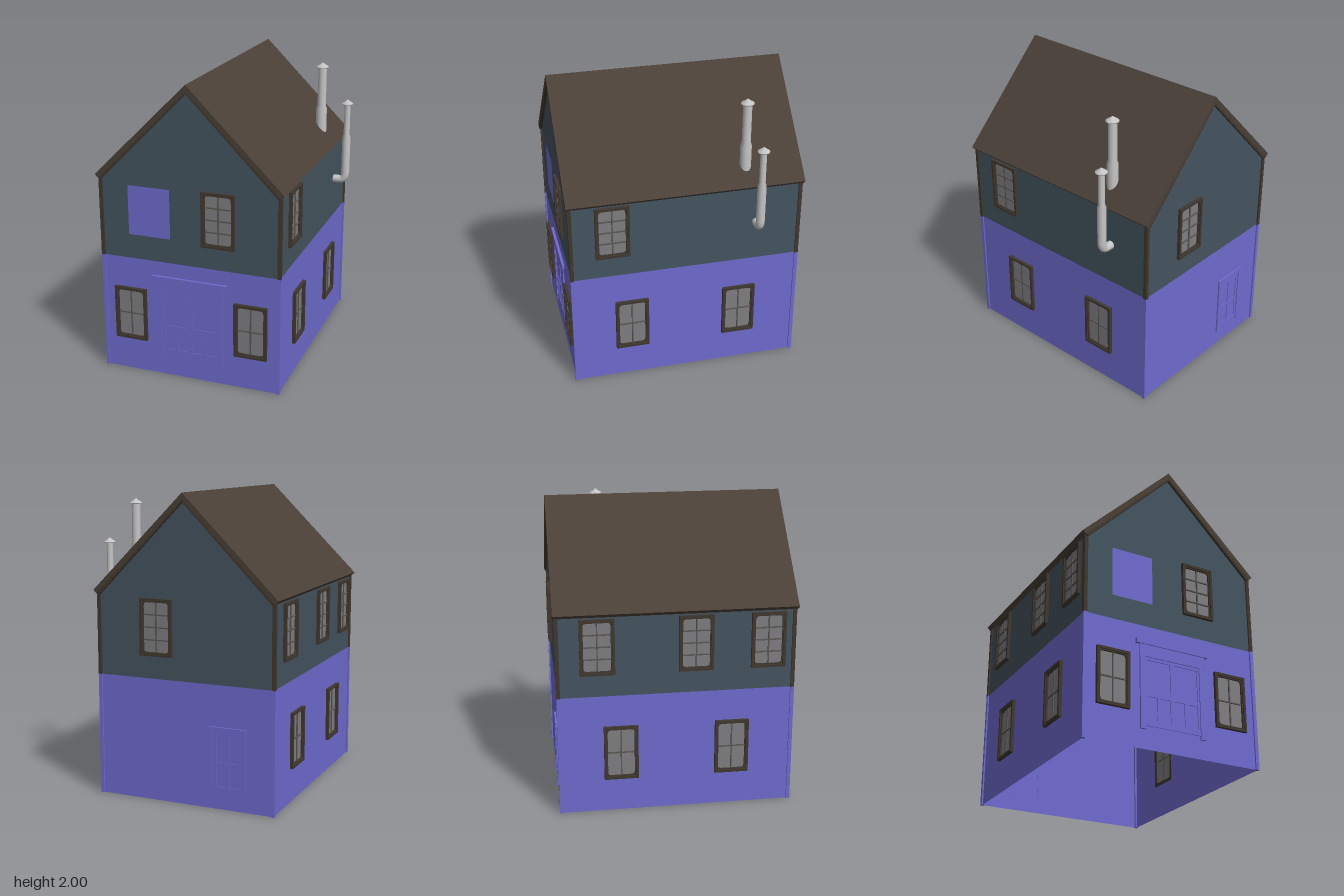
import * as THREE from 'three';

const CX = -0.05, HW = 0.61, HZ = 0.765, SPLIT = 0.81, EAVE = 1.345, PEAK = 1.95;

function mat(name, color) {
  const m = new THREE.MeshStandardMaterial({ color });
  m.name = name;
  m.side = THREE.DoubleSide;
  return m;
}

export function createModel() {
  const house = new THREE.Group();
  house.name = 'house';
  const M = {
    lower: mat('violet lower wall', 0x6f6bcf),
    upper: mat('slate blue siding', 0x44545f),
    roof: mat('brown roof', 0x4a4037),
    trim: mat('dark brown trim', 0x40382f),
    glass: mat('grey glass', 0x7f7f82),
    bar: mat('window bar grey', 0x5a5753),
    metal: mat('light grey metal', 0xc4c4c4),
  };

  function add(parent, geo, material, name, x = 0, y = 0, z = 0) {
    const mesh = new THREE.Mesh(geo, material);
    mesh.name = name;
    mesh.position.set(x, y, z);
    parent.add(mesh);
    return mesh;
  }
  // Box given by its x and y limits and its z limits
  function slab(parent, material, name, x0, x1, y0, y1, z0, z1) {
    return add(parent, new THREE.BoxGeometry(x1 - x0, y1 - y0, z1 - z0), material, name,
      (x0 + x1) / 2, (y0 + y1) / 2, (z0 + z1) / 2);
  }
  const rect = (P, x0, x1, y0, y1) => new P([[x0, y0], [x1, y0], [x1, y1], [x0, y1]]
    .map(([x, y]) => new THREE.Vector2(x, y)));
  const roundRect = (P, w, h, r) => {
    const p = new P();
    p.moveTo(-w + r, -h).lineTo(w - r, -h).quadraticCurveTo(w, -h, w, -h + r);
    p.lineTo(w, h - r).quadraticCurveTo(w, h, w - r, h).lineTo(-w + r, h);
    p.quadraticCurveTo(-w, h, -w, h - r).lineTo(-w, -h + r).quadraticCurveTo(-w, -h, -w + r, -h);
    return p;
  };

  // Window: frame with rounded opening, glass and glazing bars
  const frameShape = rect(THREE.Shape, -0.112, 0.112, -0.185, 0.185);
  frameShape.holes.push(rect(THREE.Path, -0.095, 0.095, -0.168, 0.168));
  const frameGeo = new THREE.ExtrudeGeometry(frameShape, { depth: 0.025, bevelEnabled: false });
  const sashShape = rect(THREE.Shape, -0.096, 0.096, -0.169, 0.169);
  sashShape.holes.push(roundRect(THREE.Path, 0.088, 0.161, 0.022));
  const sashGeo = new THREE.ExtrudeGeometry(sashShape, { depth: 0.014, bevelEnabled: false, curveSegments: 3 });
  const glassGeo = new THREE.PlaneGeometry(0.2, 0.345);
  function addWindow(wall, x, y, rows) {
    const g = new THREE.Group();
    g.name = 'window';
    g.position.set(x, y, 0);
    wall.add(g);
    add(g, frameGeo, M.trim, 'windowFrame', 0, 0, -0.003);
    add(g, sashGeo, M.trim, 'windowSash');
    add(g, glassGeo, M.glass, 'windowGlass', 0, 0, 0.002);
    slab(g, M.bar, 'verticalBar', -0.004, 0.004, -0.162, 0.162, 0.001, 0.01);
    for (let i = 1; i < rows; i++) {
      const by = -0.162 + 0.324 * i / rows;
      slab(g, M.bar, 'horizontalBar', -0.089, 0.089, by - 0.004, by + 0.004, 0.001, 0.01);
    }
  }

  // Wall: lower and upper sheet with window openings, in local x, y, outward z
  function addWall(name, half, gable, lowXs, highXs, patchX) {
    const g = new THREE.Group();
    g.name = name;
    house.add(g);
    const low = rect(THREE.Shape, -half, half, 0, SPLIT);
    const pts = [[-half, SPLIT], [half, SPLIT], [half, EAVE]];
    if (gable) pts.push([0, PEAK]);
    pts.push([-half, EAVE]);
    const high = new THREE.Shape(pts.map(([x, y]) => new THREE.Vector2(x, y)));
    for (const x of lowXs) {
      low.holes.push(rect(THREE.Path, x - 0.097, x + 0.097, 0.245, 0.585));
      addWindow(g, x, 0.415, 2);
    }
    for (const x of highXs) {
      high.holes.push(rect(THREE.Path, x - 0.097, x + 0.097, 0.975, 1.315));
      addWindow(g, x, 1.145, 4);
    }
    if (patchX !== undefined) {
      high.holes.push(rect(THREE.Path, patchX - 0.145, patchX + 0.145, 0.975, 1.31));
      add(g, new THREE.PlaneGeometry(0.29, 0.335), M.lower, 'wallPatch', patchX, 1.1425, 0);
    }
    add(g, new THREE.ShapeGeometry(low), M.lower, 'lowerWall');
    add(g, new THREE.ShapeGeometry(high), M.upper, 'upperWall');
    return g;
  }
  const front = addWall('frontWall', HW, true, [-0.418, 0.42], [0.202], -0.275);
  front.position.set(CX, 0, HZ);
  const back = addWall('backWall', HW, true, [], [-0.195]);
  back.position.set(CX, 0, -HZ);
  back.rotation.y = Math.PI;
  const right = addWall('leftSideWall', HZ, false, [-0.372, 0.365], [-0.492]);
  right.position.set(CX + HW, 0, 0);
  right.rotation.y = Math.PI / 2;
  const left = addWall('rightSideWall', HZ, false, [-0.365, 0.365], [-0.51, 0.125, 0.595]);
  left.position.set(CX - HW, 0, 0);
  left.rotation.y = -Math.PI / 2;

  // Corner boards
  for (const sx of [-1, 1]) for (const sz of [-1, 1]) {
    const x = CX + sx * (HW - 0.002), z = sz * (HZ - 0.002);
    add(house, new THREE.BoxGeometry(0.024, SPLIT, 0.024), M.lower, 'lowerCornerBoard', x, SPLIT / 2, z);
    add(house, new THREE.BoxGeometry(0.024, 0.54, 0.024), M.trim, 'upperCornerBoard', x, SPLIT + 0.27, z);
  }

  // Door leaf with raised rim around its panels
  function addLeaf(parent, x0, x1, y0, y1, panels) {
    const s = rect(THREE.Shape, x0, x1, y0, y1);
    for (const p of panels) s.holes.push(rect(THREE.Path, ...p));
    add(parent, new THREE.ExtrudeGeometry(s, { depth: 0.005, bevelEnabled: false }), M.lower, 'doorLeaf');
  }
  // Double front door, surround and crown
  const fd = new THREE.Group();
  fd.name = 'frontDoor';
  front.add(fd);
  addLeaf(fd, -0.195, 0.195, 0.15, 0.675, [
    [-0.18, -0.015, 0.365, 0.58], [0.015, 0.18, 0.365, 0.58],
    [-0.18, -0.11, 0.19, 0.34], [-0.085, -0.015, 0.19, 0.34],
    [0.015, 0.085, 0.19, 0.34], [0.11, 0.18, 0.19, 0.34]]);
  for (const s of [-1, 1]) slab(fd, M.lower, 'doorPost', s * 0.2125 - 0.0175, s * 0.2125 + 0.0175, 0.125, 0.6, -0.002, 0.011);
  slab(fd, M.lower, 'doorLintel', -0.235, 0.235, 0.6, 0.68, 0.005, 0.011);
  slab(fd, M.lower, 'doorCrown', -0.257, 0.257, 0.68, 0.712, -0.002, 0.018);

  // Single back door
  const bd = new THREE.Group();
  bd.name = 'backDoor';
  bd.position.x = 0.3;
  back.add(bd);
  addLeaf(bd, -0.1, 0.1, 0.12, 0.52, [
    [-0.08, -0.01, 0.31, 0.48], [0.01, 0.08, 0.31, 0.48],
    [-0.08, -0.01, 0.15, 0.28], [0.01, 0.08, 0.15, 0.28]]);
  for (const s of [-1, 1]) slab(bd, M.lower, 'doorPost', s * 0.112 - 0.012, s * 0.112 + 0.012, 0.11, 0.515, -0.002, 0.011);
  slab(bd, M.lower, 'doorLintel', -0.13, 0.13, 0.515, 0.54, -0.002, 0.013);

  // Roof slab with rake boards at both gable ends
  function chevron(outX, outY, top, inX, inY, inTop, depth, material, name, z) {
    const s = new THREE.Shape([[-outX, outY], [-inX, inY], [0, inTop], [inX, inY], [outX, outY], [0, top]]
      .map(([x, y]) => new THREE.Vector2(x, y)));
    add(house, new THREE.ExtrudeGeometry(s, { depth, bevelEnabled: false }), material, name, CX, 0, z);
  }
  chevron(0.64, 1.365, 2, 0.617, 1.342, 1.955, 1.57, M.roof, 'roof', -0.785);
  for (const z of [-0.784, 0.764]) chevron(0.625, 1.35, 1.97, 0.6, 1.335, 1.942, 0.02, M.trim, 'rakeBoard', z);

  // Metal flue: wide base, narrow top and a conical cap
  function addFlue(name, x, z, y0, yStep, yTop, r0, r1, rCap) {
    const p = [[r0, y0], [r0, yStep], [r1, yStep + 0.025], [r1, yTop]];
    add(house, new THREE.LatheGeometry(p.map(([r, y]) => new THREE.Vector2(r, y)), 20), M.metal, name, x, 0, z);
    const cap = [[0, 0], [rCap, 0], [rCap * 0.97, 0.007], [rCap * 0.35, 0.024], [0, 0.036]];
    add(house, new THREE.LatheGeometry(cap.map(([r, y]) => new THREE.Vector2(r, y)), 20), M.metal, name + 'Cap', x, yTop, z);
  }
  addFlue('roofFlue', 0.473, -0.408, 1.445, 1.615, 1.903, 0.037, 0.029, 0.043);
  addFlue('wallFlue', 0.643, -0.47, 1.14, 1.4, 1.642, 0.029, 0.021, 0.04);
  // Elbow from the wall to the outer flue
  const elbow = new THREE.CurvePath();
  const v = (x, y) => new THREE.Vector3(x, y, -0.47);
  elbow.add(new THREE.LineCurve3(v(0.54, 1.09), v(0.6, 1.09)));
  elbow.add(new THREE.QuadraticBezierCurve3(v(0.6, 1.09), v(0.643, 1.09), v(0.643, 1.145)));
  add(house, new THREE.TubeGeometry(elbow, 16, 0.028, 16), M.metal, 'flueElbow');

  return house;
}
